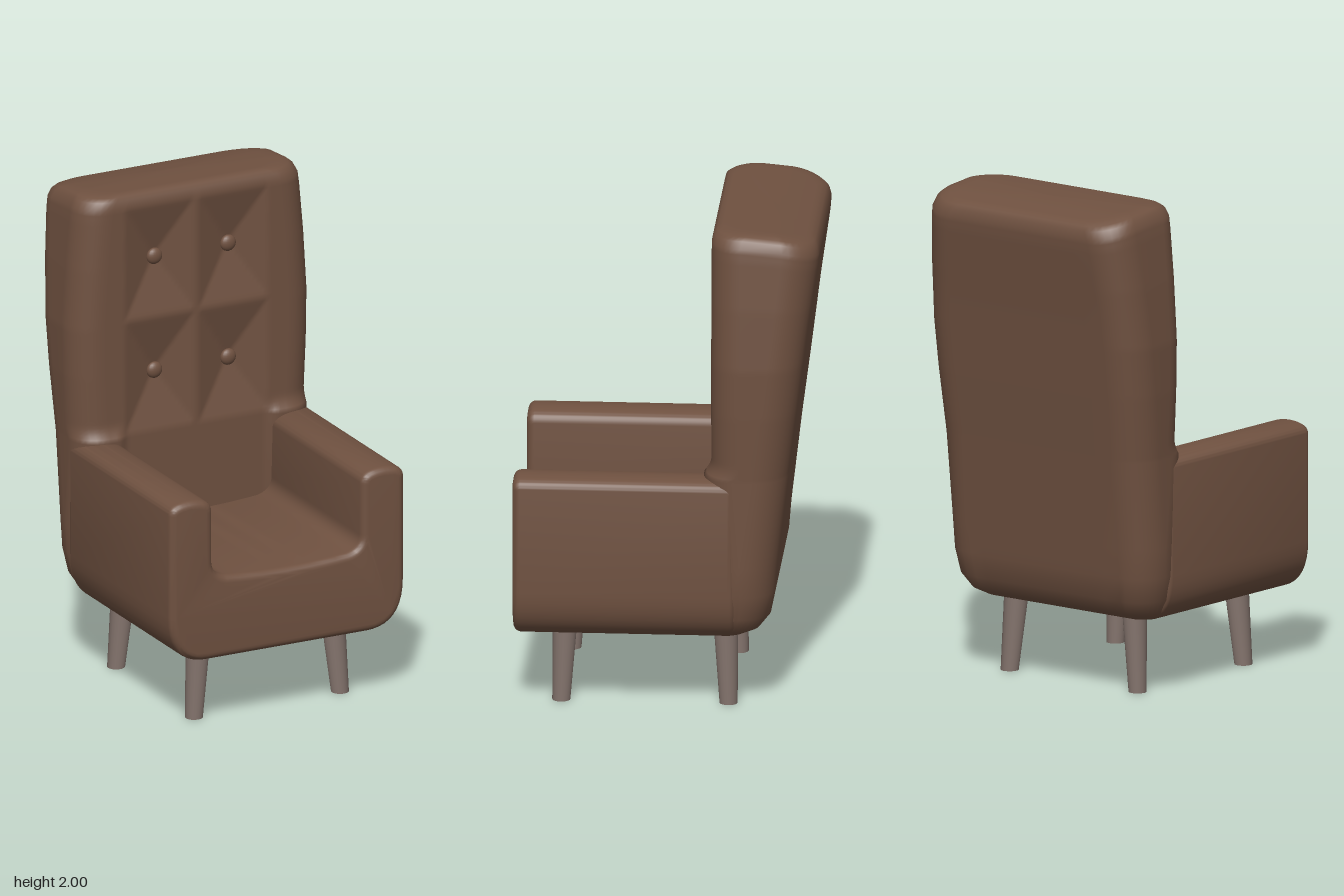
import * as THREE from 'three';
import { toCreasedNormals } from 'three/addons/utils/BufferGeometryUtils.js';

const TUFT_X = 0.165, TUFT_Y = [1.23, 1.71], TUFT_DEPTH = 0.06;

// Backrest sections: height, half width, rear z, front z
const SECTIONS = [
  [0.30, 0.36, -0.25, -0.18], [0.31, 0.42, -0.31, -0.18], [0.34, 0.465, -0.37, -0.18],
  [0.40, 0.50, -0.415, -0.18], [0.50, 0.52, -0.435, -0.18], [0.62, 0.525, -0.445, -0.18],
  [0.98, 0.525, -0.487, -0.18], [1.25, 0.537, -0.522, -0.18], [1.45, 0.54, -0.547, -0.18],
  [1.70, 0.525, -0.578, -0.18], [1.90, 0.507, -0.602, -0.18], [1.95, 0.50, -0.606, -0.18],
  [1.98, 0.485, -0.60, -0.187], [1.993, 0.468, -0.588, -0.20], [2.0, 0.44, -0.57, -0.22],
];

function sectionAt(y) {
  let i = 0;
  while (i < SECTIONS.length - 2 && SECTIONS[i + 1][0] < y) i++;
  const a = SECTIONS[i], b = SECTIONS[i + 1];
  const t = THREE.MathUtils.clamp((y - a[0]) / (b[0] - a[0]), 0, 1);
  return a.map((v, k) => v + (b[k] - v) * t);
}

// Pyramid-shaped hollow around each button
function tuft(x, y) {
  let d = 0;
  for (const cy of TUFT_Y) {
    const m = Math.max(Math.abs(Math.abs(x) - TUFT_X) / 0.155, Math.abs(y - cy) / 0.235);
    d = Math.max(d, TUFT_DEPTH * (1 - m));
  }
  return d;
}

// Rounded-rectangle outline in plan, starting along the front
function outline(hw, zb, zf) {
  const k = Math.min(1, (zf - zb) / 0.27), rf = 0.12 * k, rb = 0.14 * k;
  const pts = [];
  const line = (x0, x1, z, n) => {
    for (let i = 0; i < n; i++) pts.push([x0 + (x1 - x0) * i / n, z]);
  };
  const arc = (cx, cz, r, start) => {
    for (let i = 0; i < 8; i++) {
      const a = start - Math.PI / 2 * i / 8;
      pts.push([cx + r * Math.cos(a), cz + r * Math.sin(a)]);
    }
    const e = start - Math.PI / 2;
    pts.push([cx + r * Math.cos(e), cz + r * Math.sin(e)]);
  };
  line(-hw + rf, hw - rf, zf, 64);
  arc(hw - rf, zf - rf, rf, Math.PI / 2);
  arc(hw - rb, zb + rb, rb, 0);
  line(hw - rb - 0.02, -hw + rb + 0.02, zb, 12);
  arc(-hw + rb, zb + rb, rb, -Math.PI / 2);
  arc(-hw + rf, zf - rf, rf, -Math.PI);
  pts.pop();
  return pts;
}

function backrestGeometry() {
  // Levels are [height, scale]; the scaled ones close the ends
  const levels = [[0.3, 0], [0.3, 0.5], [0.3, 0.9]];
  for (const s of SECTIONS) if (s[0] < 0.98) levels.push([s[0], 1]);
  for (let i = 0; i <= 64; i++) levels.push([0.98 + 0.95 * i / 64, 1]);
  for (const s of SECTIONS) if (s[0] > 1.94) levels.push([s[0], 1]);
  for (const s of [0.9, 0.7, 0.4, 0]) levels.push([2, s]);

  const pos = [], index = [];
  let n = 0;
  for (const [y, s] of levels) {
    const [, hw, zb, zf] = sectionAt(y);
    const pts = outline(hw, zb, zf), zc = (zb + zf) / 2;
    n = pts.length;
    for (const [px, pz] of pts) {
      const x = px * s;
      let z = zc + (pz - zc) * s;
      if (s === 1 && pz > zf - 0.001) z -= tuft(x, y);
      // Small fillet where the back meets the arms
      if (y >= 0.98 && y < 1.05 && z > -0.32) {
        z += 0.03 * (1 - (y - 0.98) / 0.07) ** 2 * THREE.MathUtils.smoothstep(Math.abs(x), 0.3, 0.36);
      }
      // Top slopes down toward the rear
      const drop = 0.55 * Math.max(0, -0.3 - z) ** 2 * THREE.MathUtils.smoothstep(y, 1.5, 1.93);
      pos.push(x, y - drop, z);
    }
  }
  for (let i = 0; i < levels.length - 1; i++) {
    for (let j = 0; j < n; j++) {
      const a = i * n + j, b = i * n + (j + 1) % n;
      index.push(a, b, b + n, a, b + n, a + n);
    }
  }
  const g = new THREE.BufferGeometry();
  g.setAttribute('position', new THREE.Float32BufferAttribute(pos, 3));
  g.setIndex(index);
  g.computeVertexNormals();
  return g;
}

// U-shaped front profile of seat and arms, swept from back to front
function seatGeometry() {
  const s = new THREE.Shape();
  s.moveTo(-0.36, 0.30);
  s.lineTo(0.36, 0.30);
  s.bezierCurveTo(0.46, 0.30, 0.525, 0.36, 0.525, 0.50);
  s.lineTo(0.525, 0.93);
  s.quadraticCurveTo(0.525, 0.965, 0.48, 0.975);
  s.quadraticCurveTo(0.43, 0.985, 0.385, 0.975);
  s.quadraticCurveTo(0.333, 0.965, 0.333, 0.92);
  s.lineTo(0.333, 0.71);
  s.quadraticCurveTo(0.333, 0.655, 0.27, 0.643);
  s.quadraticCurveTo(0, 0.617, -0.27, 0.643);
  s.quadraticCurveTo(-0.333, 0.655, -0.333, 0.71);
  s.lineTo(-0.333, 0.92);
  s.quadraticCurveTo(-0.333, 0.965, -0.385, 0.975);
  s.quadraticCurveTo(-0.43, 0.985, -0.48, 0.975);
  s.quadraticCurveTo(-0.525, 0.965, -0.525, 0.93);
  s.lineTo(-0.525, 0.50);
  s.bezierCurveTo(-0.525, 0.36, -0.46, 0.30, -0.36, 0.30);
  const bevel = 0.03, rear = -0.28, front = 0.605;
  const g = new THREE.ExtrudeGeometry(s, {
    depth: front - rear - 2 * bevel, curveSegments: 10, bevelEnabled: true,
    bevelSize: bevel, bevelThickness: bevel, bevelOffset: -bevel, bevelSegments: 5,
  });
  g.translate(0, 0, rear + bevel);
  return toCreasedNormals(g, 0.7);
}

// Tapered leg, sheared outward toward the floor
function legGeometry(side, topZ, footZ) {
  const h = 0.34, g = new THREE.CylinderGeometry(0.05, 0.036, h, 20);
  g.translate(0, h / 2, 0);
  const p = g.attributes.position;
  for (let i = 0; i < p.count; i++) {
    const t = p.getY(i) / h;
    p.setX(i, p.getX(i) + side * (0.327 + (0.30 - 0.327) * t));
    p.setZ(i, p.getZ(i) + footZ + (topZ - footZ) * t);
  }
  return g;
}

export function createModel() {
  const model = new THREE.Group();
  model.name = 'armchair';
  const leather = new THREE.MeshStandardMaterial({ color: 0x6f5140 });
  leather.name = 'brown leather';
  const wood = new THREE.MeshStandardMaterial({ color: 0x85756e });
  wood.name = 'grey wood';

  const add = (name, geometry, material) => {
    const mesh = new THREE.Mesh(geometry, material);
    mesh.name = name;
    model.add(mesh);
    return mesh;
  };

  add('seatAndArms', seatGeometry(), leather);
  add('backrest', backrestGeometry(), leather);

  const button = new THREE.SphereGeometry(0.034, 20, 12);
  for (const side of [-1, 1]) {
    for (const y of TUFT_Y) {
      const b = add('button', button, leather);
      b.position.set(side * TUFT_X, y, -0.18 - TUFT_DEPTH + 0.014);
      b.scale.z = 0.6;
    }
    add('frontLeg', legGeometry(side, 0.408, 0.422), wood);
    add('rearLeg', legGeometry(side, -0.23, -0.243), wood);
  }
  return model;
}
